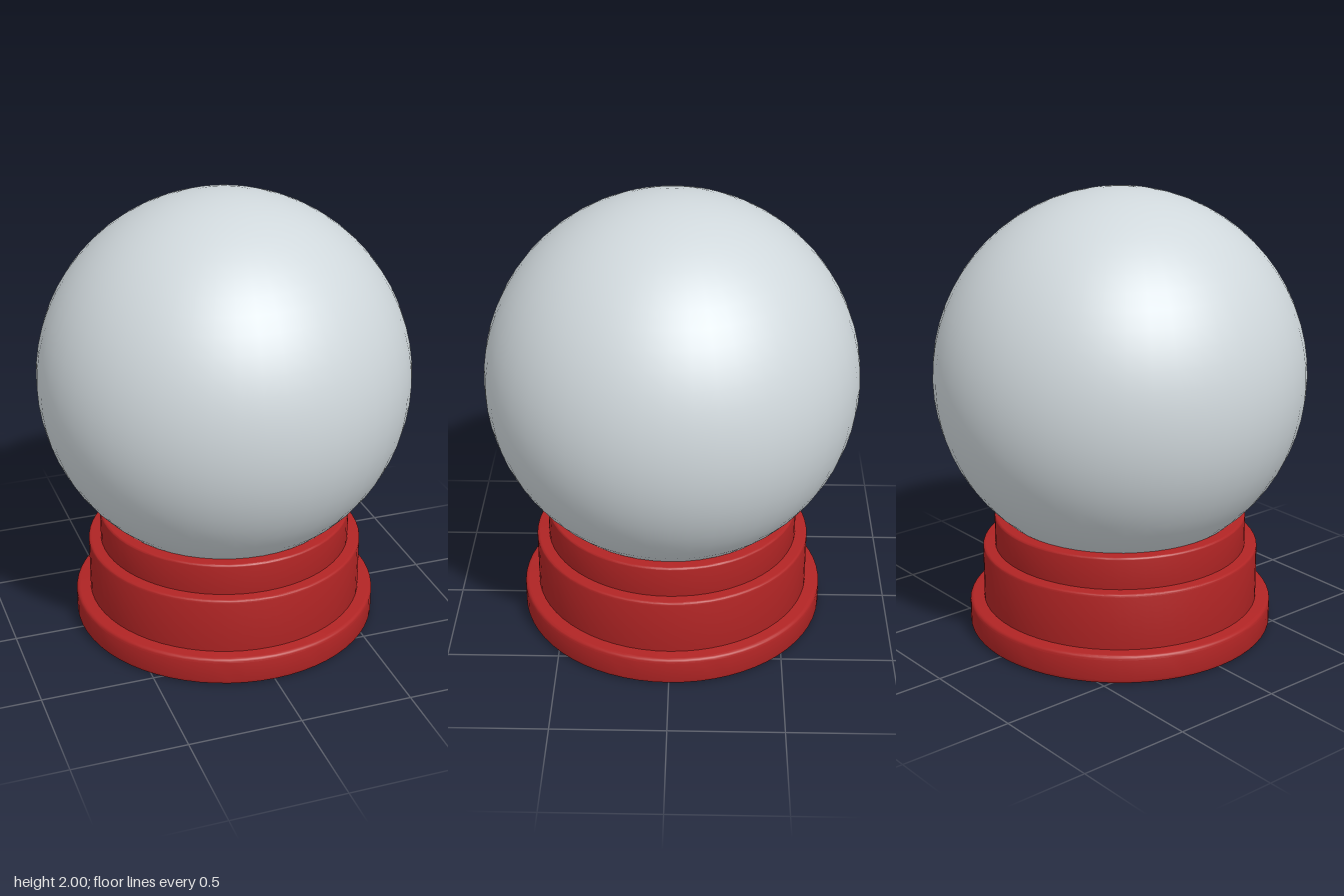
import * as THREE from 'three';
import { toCreasedNormals } from 'three/addons/utils/BufferGeometryUtils.js';

const SEGMENTS = 64;

// Round disc with softened rims, standing between two heights
function roundedDisc(radius, bottom, top, bevel) {
  const profile = [new THREE.Vector2(0, bottom)];
  const steps = 4;
  for (let i = 0; i <= steps; i++) {
    const a = -Math.PI / 2 + (i / steps) * Math.PI / 2;
    profile.push(new THREE.Vector2(radius - bevel + Math.cos(a) * bevel, bottom + bevel + Math.sin(a) * bevel));
  }
  for (let i = 0; i <= steps; i++) {
    const a = (i / steps) * Math.PI / 2;
    profile.push(new THREE.Vector2(radius - bevel + Math.cos(a) * bevel, top - bevel + Math.sin(a) * bevel));
  }
  profile.push(new THREE.Vector2(0, top));
  return toCreasedNormals(new THREE.LatheGeometry(profile, SEGMENTS), Math.PI / 6);
}

export function createModel() {
  const group = new THREE.Group();
  group.name = 'snowGlobe';

  const red = new THREE.MeshStandardMaterial({ color: 0xb02424 });
  red.name = 'base red';
  const glass = new THREE.MeshStandardMaterial({ color: 0xd0d8dc });
  glass.name = 'pale glass';

  // Stepped base: name, radius, bottom, top, rim bevel
  const tiers = [
    ['baseFoot', 0.69, 0, 0.13, 0.018],
    ['baseBody', 0.625, 0.11, 0.385, 0.012],
    ['baseCollar', 0.57, 0.365, 0.53, 0.01],
  ];
  for (const [name, radius, bottom, top, bevel] of tiers) {
    const tier = new THREE.Mesh(roundedDisc(radius, bottom, top, bevel), red);
    tier.name = name;
    group.add(tier);
  }

  // Globe seated in the collar
  const globe = new THREE.Mesh(new THREE.SphereGeometry(0.826, 48, 32), glass);
  globe.name = 'globe';
  globe.position.y = 1.174;
  group.add(globe);

  return group;
}
